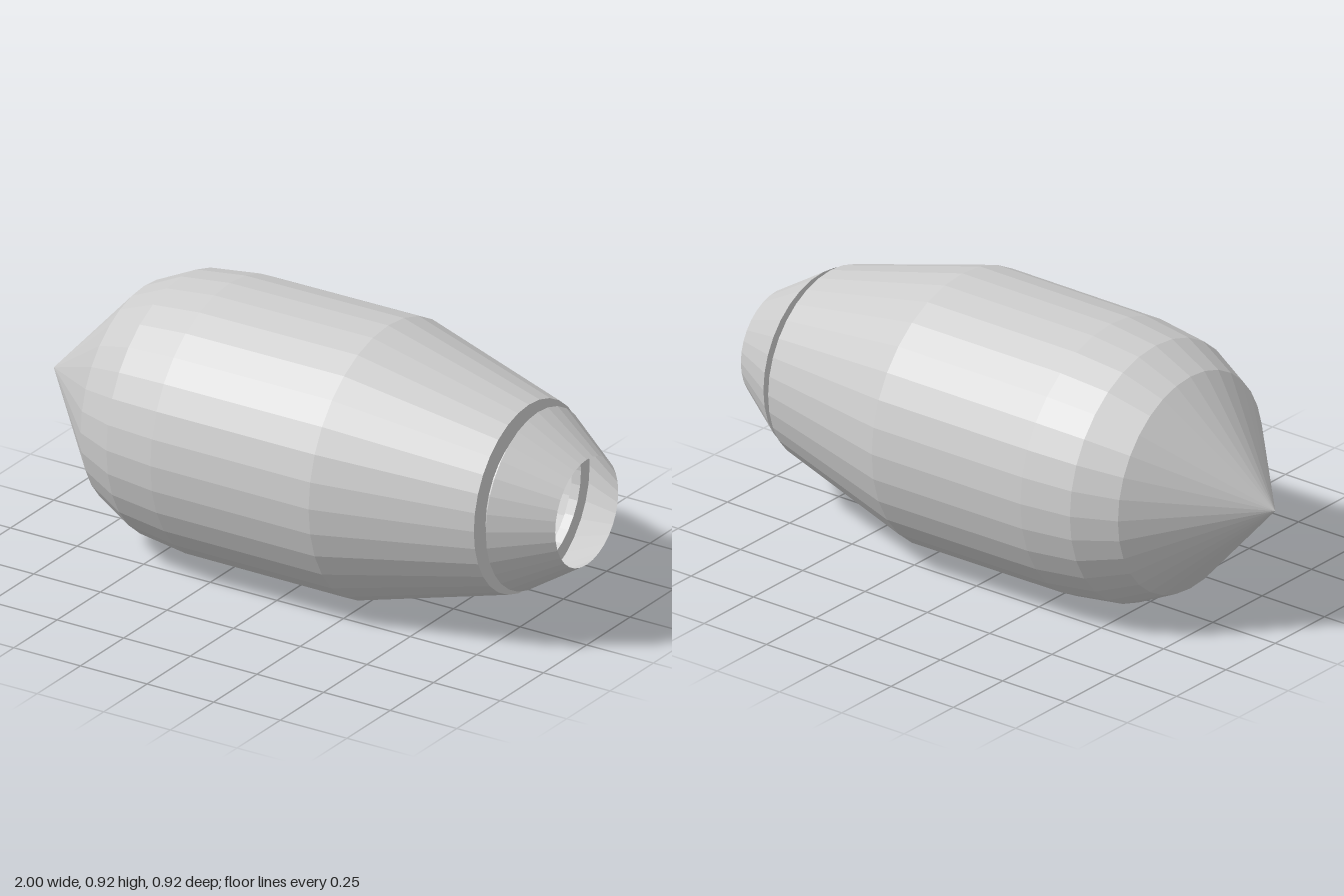
import * as THREE from 'three';

const SIDES = 32;
const RADIUS = 0.46;

export function createModel() {
  const model = new THREE.Group();
  model.name = 'pod';

  const grey = new THREE.MeshStandardMaterial({ color: 0xcccccc, flatShading: true, side: THREE.DoubleSide });
  grey.name = 'light grey';

  // Spins an [x, radius] profile around the long horizontal axis
  function addShell(name, profile) {
    const points = profile.map(([x, r]) => new THREE.Vector2(r, x));
    const geometry = new THREE.LatheGeometry(points, SIDES);
    geometry.rotateZ(-Math.PI / 2);
    const mesh = new THREE.Mesh(geometry, grey);
    mesh.name = name;
    mesh.position.y = RADIUS;
    model.add(mesh);
  }

  // Pointed nose
  addShell('noseCone', [[-1, 0], [-0.66, 0.368]]);

  // Rounded shoulder, straight barrel and tapered tail with its end rim
  addShell('hull', [
    [-0.66, 0.368], [-0.52, 0.435], [-0.34, 0.458],
    [0.255, RADIUS], [0.783, 0.318], [0.783, 0.25],
  ]);

  // Narrow groove between hull and nozzle
  addShell('neck', [[0.783, 0.25], [0.816, 0.25]]);

  // Hollow nozzle, open at the end
  addShell('nozzle', [[0.816, 0.25], [0.816, 0.3], [1, 0.182]]);

  return model;
}
